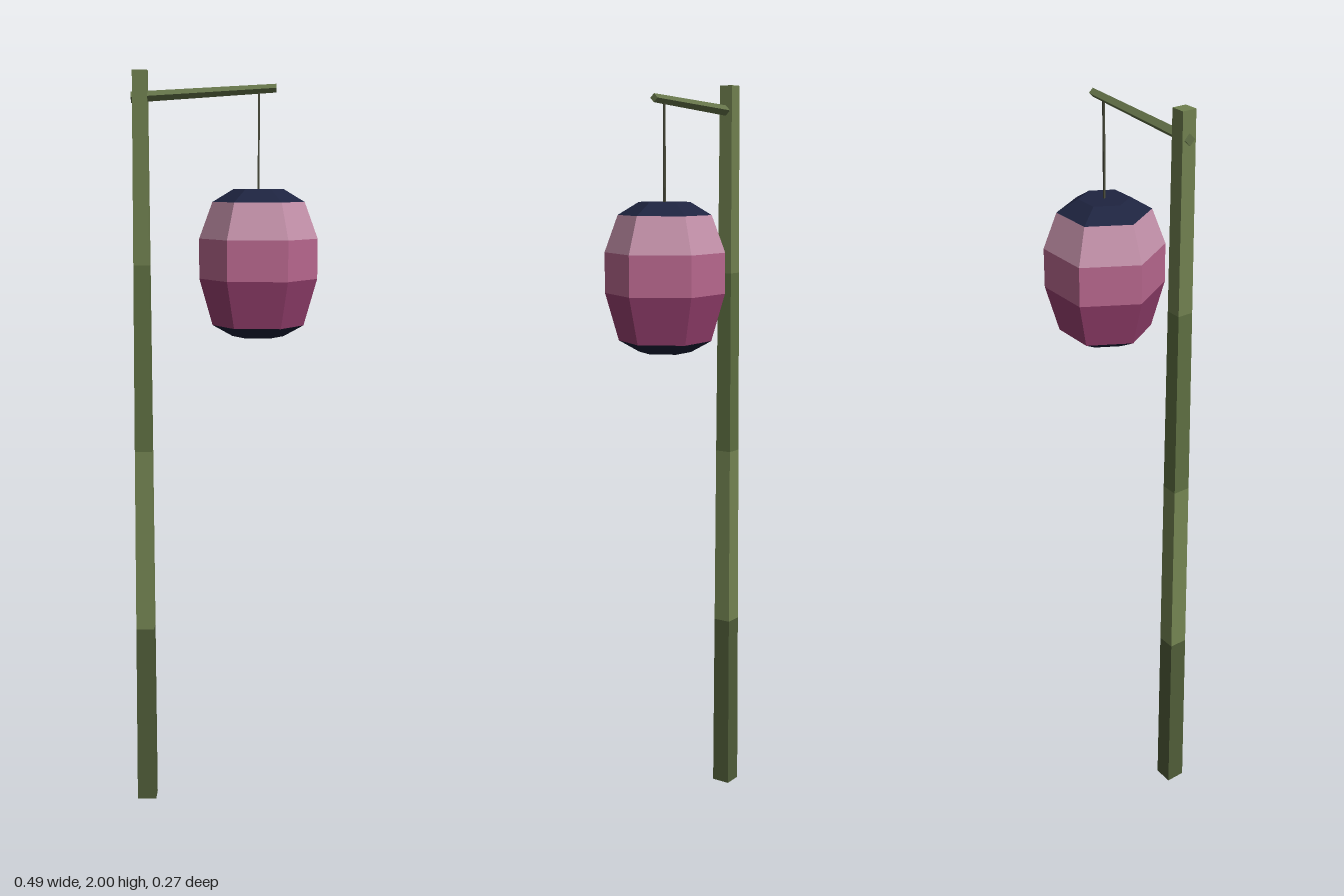
import * as THREE from 'three';

const mat = (color) => new THREE.MeshStandardMaterial({ color, flatShading: true });

function add(parent, name, geometry, color) {
  const mesh = new THREE.Mesh(geometry, mat(color));
  mesh.name = name;
  parent.add(mesh);
  return mesh;
}

// Prism between two heights; square ones are turned so their flats face the axes
function band(y0, y1, r0, r1, sides, open = true) {
  const g = new THREE.CylinderGeometry(r1, r0, y1 - y0, sides, 1, open);
  g.rotateY(sides === 4 ? Math.PI / 4 : Math.PI / 2);
  return g.translate(0, (y0 + y1) / 2, 0);
}

export function createModel() {
  const model = new THREE.Group();
  model.name = 'hangingLantern';

  // Square bamboo post in four tapering sections
  const post = new THREE.Group();
  post.name = 'post';
  post.position.x = -0.22;
  const greens = [0x4f5c38, 0x748452, 0x5d6e41, 0x70804f];
  const half = [0.026, 0.0245, 0.023, 0.021, 0.019];
  greens.forEach((color, i) => {
    const g = band(i * 0.5, i * 0.5 + 0.5, half[i] * Math.SQRT2, half[i + 1] * Math.SQRT2, 4, false);
    add(post, 'postSection' + (i + 1), g, color);
  });
  model.add(post);

  // Slender arm, diamond in section, rising slightly away from the post
  const from = new THREE.Vector3(-0.244, 1.932, 0);
  const to = new THREE.Vector3(0.133, 1.954, 0);
  const dir = to.clone().sub(from);
  const arm = add(model, 'arm', new THREE.CylinderGeometry(0.011, 0.014, dir.length(), 4), 0x65744a);
  arm.position.copy(from).add(to).multiplyScalar(0.5);
  arm.quaternion.setFromUnitVectors(new THREE.Vector3(0, 1, 0), dir.normalize());

  // Cord and six-sided lantern
  const lantern = new THREE.Group();
  lantern.name = 'lantern';
  lantern.position.x = 0.088;
  add(lantern, 'cord', band(1.69, 1.95, 0.0035, 0.0035, 4), 0x4a4c3c);
  add(lantern, 'bottomCap', band(1.313, 1.342, 0.068, 0.121, 6, false), 0x1a2038);
  add(lantern, 'lowerShade', band(1.342, 1.465, 0.121, 0.156, 6), 0x97406f);
  add(lantern, 'middleShade', band(1.465, 1.57, 0.156, 0.156, 6), 0xb9688f);
  add(lantern, 'upperShade', band(1.57, 1.665, 0.156, 0.121, 6), 0xc592ab);
  add(lantern, 'topCap', band(1.665, 1.698, 0.121, 0.066, 6, false), 0x1e2440);
  model.add(lantern);

  return model;
}
